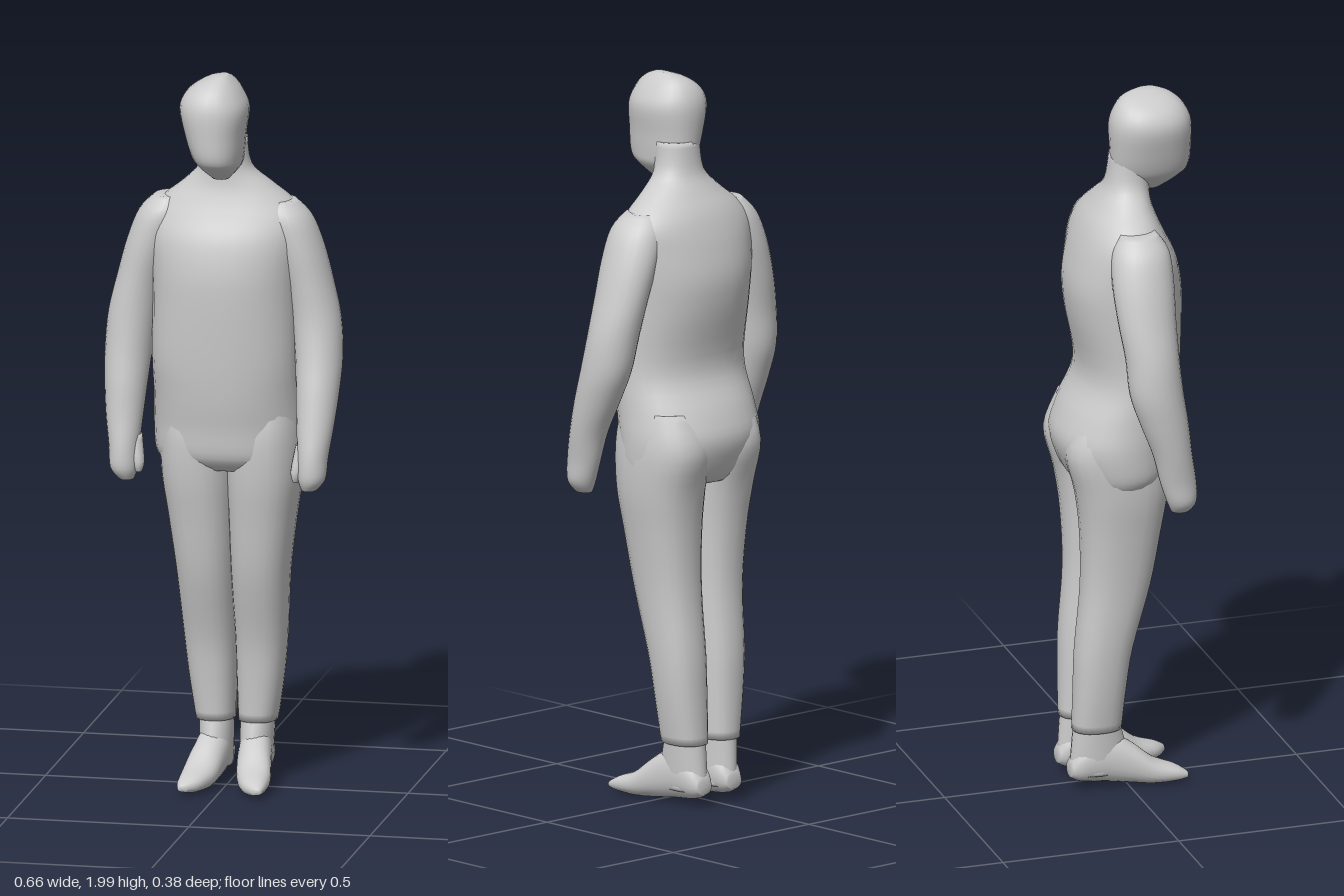
import * as THREE from 'three';

const material = new THREE.MeshStandardMaterial({ color: 0xcccccc, side: THREE.DoubleSide });

// Catmull-Rom blend of one number
function blend(a, b, c, d, t) {
  return 0.5 * (2 * b + (c - a) * t + (2 * a - 5 * b + 4 * c - d) * t * t + (3 * b - a - 3 * c + d) * t * t * t);
}

// Skin through rounded sections [along, uMin, uMax, vMin, vMax], closed at both ends.
// axis 'y': u = x, v = z, listed upward; axis 'z': u = x, v = y, listed from front to back.
function loft(name, sections, { axis = 'y', segments = 24, steps = 4, power = 2 } = {}) {
  const rows = [];
  const at = i => sections[Math.min(Math.max(i, 0), sections.length - 1)];
  for (let i = 0; i < sections.length - 1; i++) {
    for (let s = 0; s < steps; s++) {
      rows.push(at(i).map((_, k) => blend(at(i - 1)[k], at(i)[k], at(i + 1)[k], at(i + 2)[k], s / steps)));
    }
  }
  rows.push(at(sections.length));
  const flat = ([p, a, b, c, d]) => [p, (a + b) / 2, (a + b) / 2, (c + d) / 2, (c + d) / 2];
  rows.unshift(flat(rows[0]));
  rows.push(flat(rows[rows.length - 1]));

  const round = w => Math.sign(w) * Math.pow(Math.abs(w), 2 / power);
  const positions = [], index = [];
  rows.forEach(([p, u0, u1, v0, v1], i) => {
    for (let j = 0; j < segments; j++) {
      const angle = (j / segments) * Math.PI * 2;
      const u = (u0 + u1) / 2 + (u1 - u0) / 2 * round(Math.cos(angle));
      const v = (v0 + v1) / 2 + (v1 - v0) / 2 * round(Math.sin(angle));
      positions.push(...(axis === 'y' ? [u, p, v] : [u, v, p]));
      if (i === rows.length - 1) continue;
      const a = i * segments + j, b = i * segments + (j + 1) % segments;
      index.push(a, a + segments, b, b, a + segments, b + segments);
    }
  });
  const geometry = new THREE.BufferGeometry();
  geometry.setAttribute('position', new THREE.Float32BufferAttribute(positions, 3));
  geometry.setIndex(index);
  geometry.computeVertexNormals();
  const mesh = new THREE.Mesh(geometry, material);
  mesh.name = name;
  return mesh;
}

// Left-side sections carried over to the given side
const onSide = (side, sections) => sections.map(([p, a, b, c, d]) => side > 0 ? [p, a, b, c, d] : [p, -b, -a, c, d]);

function makeLeg(side) {
  const leg = new THREE.Group();
  leg.name = side > 0 ? 'leftLeg' : 'rightLeg';
  leg.position.x = 0.012;
  // trouser leg
  leg.add(loft('trouserLeg', onSide(side, [
    [0.18, 0.005, 0.112, -0.152, -0.015],
    [0.30, 0.002, 0.13, -0.15, -0.005],
    [0.42, 0, 0.142, -0.147, 0.012],
    [0.60, -0.004, 0.155, -0.132, 0.06],
    [0.76, -0.008, 0.175, -0.136, 0.087],
    [0.88, -0.012, 0.192, -0.152, 0.105],
    [1.00, -0.01, 0.195, -0.18, 0.11],
    [1.10, 0.02, 0.18, -0.14, 0.09],
  ]), { power: 2.3 }));
  // ankle
  leg.add(loft('ankle', onSide(side, [
    [0.05, 0.012, 0.095, -0.158, 0],
    [0.10, 0.01, 0.1, -0.156, 0.005],
    [0.20, 0.01, 0.105, -0.148, -0.022],
  ])));
  // foot, toes turned slightly outwards
  leg.add(loft('foot', onSide(side, [
    [0.16, 0.09, 0.115, 0.022, 0.04],
    [0.13, 0.055, 0.122, 0.014, 0.058],
    [0.07, 0.03, 0.123, 0.01, 0.082],
    [0.01, 0.018, 0.113, 0.014, 0.13],
    [-0.06, 0.012, 0.102, 0.022, 0.165],
    [-0.13, 0.015, 0.095, 0.03, 0.13],
    [-0.16, 0.03, 0.08, 0.045, 0.085],
  ]), { axis: 'z', power: 2.2 }));
  return leg;
}

function makeArm(side) {
  const arm = new THREE.Group();
  arm.name = side > 0 ? 'leftArm' : 'rightArm';
  arm.position.x = -0.003;
  // the right hand hangs a little further back
  const hang = sections => onSide(side, sections).map(([y, a, b, c, d]) => {
    const back = side > 0 ? 0 : 0.035 * THREE.MathUtils.clamp((1.3 - y) / 0.3, 0, 1);
    return [y, a, b, c - back, d - back];
  });
  // sleeve and hand
  arm.add(loft('sleeveAndHand', hang([
    [0.868, 0.235, 0.275, 0.095, 0.145],
    [0.90, 0.225, 0.3, 0.08, 0.162],
    [0.96, 0.222, 0.306, 0.06, 0.16],
    [1.04, 0.215, 0.317, 0.035, 0.143],
    [1.13, 0.207, 0.325, -0.01, 0.122],
    [1.22, 0.198, 0.328, -0.05, 0.098],
    [1.32, 0.185, 0.32, -0.068, 0.08],
    [1.42, 0.165, 0.297, -0.082, 0.078],
    [1.52, 0.13, 0.27, -0.088, 0.082],
    [1.60, 0.1, 0.238, -0.078, 0.078],
    [1.645, 0.11, 0.195, -0.05, 0.05],
  ])));
  // thumb
  arm.add(loft('thumb', hang([
    [0.89, 0.212, 0.228, 0.118, 0.138],
    [0.92, 0.205, 0.24, 0.105, 0.145],
    [0.99, 0.215, 0.26, 0.08, 0.13],
  ]), { segments: 10 }));
  return arm;
}

export function createModel() {
  const model = new THREE.Group();
  model.name = 'standingFigure';

  // jacket from hem to neck
  model.add(loft('torso', [
    [0.90, -0.175, 0.185, -0.14, 0.085],
    [0.94, -0.197, 0.205, -0.165, 0.118],
    [1.02, -0.203, 0.21, -0.188, 0.128],
    [1.10, -0.2, 0.205, -0.165, 0.14],
    [1.21, -0.2, 0.2, -0.118, 0.15],
    [1.37, -0.2, 0.2, -0.145, 0.158],
    [1.46, -0.205, 0.205, -0.152, 0.156],
    [1.54, -0.212, 0.214, -0.138, 0.14],
    [1.60, -0.205, 0.215, -0.12, 0.112],
    [1.645, -0.17, 0.18, -0.1, 0.092],
    [1.69, -0.115, 0.125, -0.07, 0.078],
    [1.74, -0.072, 0.072, -0.042, 0.075],
    [1.82, -0.065, 0.062, -0.03, 0.08],
  ], { segments: 32, power: 2.15 }));

  // head with a tapered chin and blunt crown
  model.add(loft('head', [
    [1.715, -0.02, 0.025, 0.06, 0.11],
    [1.75, -0.055, 0.055, 0.0, 0.165],
    [1.78, -0.075, 0.062, -0.025, 0.188],
    [1.84, -0.095, 0.068, -0.032, 0.192],
    [1.91, -0.11, 0.076, -0.035, 0.19],
    [1.955, -0.092, 0.058, -0.022, 0.172],
    [1.985, -0.05, 0.035, 0.005, 0.14],
    [2.0, -0.008, 0.018, 0.05, 0.1],
  ], { power: 2.2 }));

  for (const side of [1, -1]) model.add(makeLeg(side), makeArm(side));
  return model;
}
